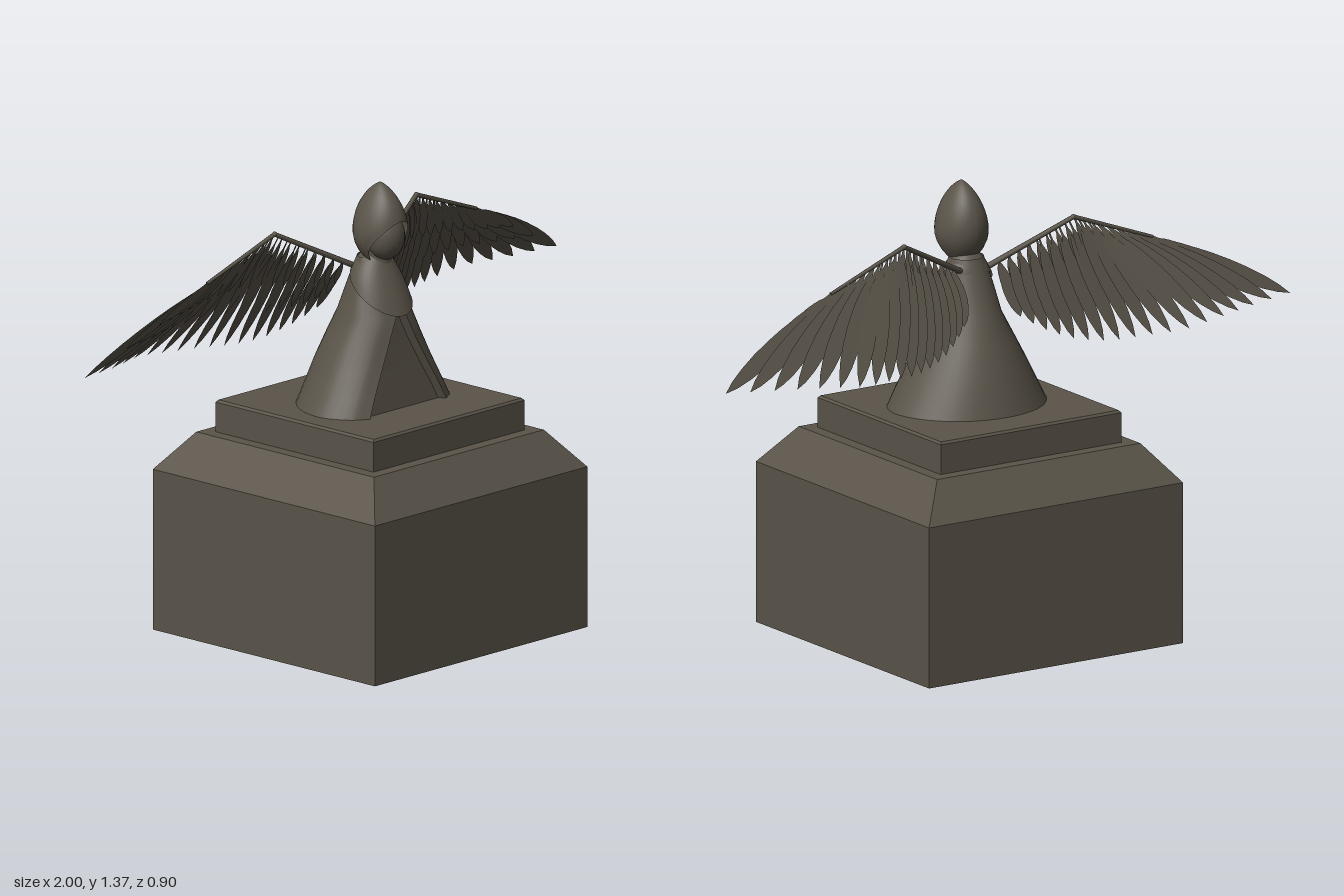
import * as THREE from 'three';

const stone = new THREE.MeshStandardMaterial({ color: 0x5a5449, side: THREE.DoubleSide });
stone.name = 'weathered stone';
const V = (x, y, z) => new THREE.Vector3(x, y, z);
const lerp = THREE.MathUtils.lerp;

function add(parent, name, geometry) {
  const mesh = new THREE.Mesh(geometry, stone);
  mesh.name = name;
  parent.add(mesh);
  return mesh;
}

// Surface through rows of points, rows running upward
function loft(rows) {
  const n = rows[0].length, index = [];
  for (let i = 0; i < rows.length - 1; i++)
    for (let j = 0; j < n - 1; j++) {
      const a = i * n + j, b = a + 1, c = a + n, d = c + 1;
      index.push(a, c, b, b, c, d);
    }
  const g = new THREE.BufferGeometry().setFromPoints(rows.flat());
  g.setIndex(index);
  g.computeVertexNormals();
  return g;
}

// Surface from a rule f(angle, v); the angle starts and ends at the back
function turned(f, around, up) {
  const rows = [];
  for (let i = 0; i <= up; i++) {
    const row = [];
    for (let j = 0; j <= around; j++) row.push(f(Math.PI + (j / around) * Math.PI * 2, i / up));
    rows.push(row);
  }
  return loft(rows);
}

function makePedestal() {
  const group = new THREE.Group();
  group.name = 'pedestal';
  // name, half width below, half width above, bottom, top
  const tiers = [
    ['pedestalBlock', 0.45, 0.45, 0, 0.487],
    ['pedestalSlope', 0.45, 0.36, 0.487, 0.6],
    ['pedestalSlab', 0.32, 0.32, 0.6, 0.69],
    ['slabBevel', 0.32, 0.314, 0.69, 0.697],
  ];
  for (const [name, low, high, y0, y1] of tiers) {
    const g = new THREE.CylinderGeometry(high * Math.SQRT2, low * Math.SQRT2, y1 - y0, 4)
      .rotateY(Math.PI / 4).translate(0, (y0 + y1) / 2, 0).toNonIndexed();
    g.computeVertexNormals();
    add(group, name, g);
  }
  return group;
}

function makeRobe() {
  const group = new THREE.Group();
  group.name = 'robe';
  // height, half width, half opening, back z, front z
  const rings = [
    [0.695, 0.25, 0.162, -0.2, 0.155],
    [0.75, 0.222, 0.136, -0.183, 0.148],
    [0.82, 0.186, 0.098, -0.162, 0.139],
    [0.9, 0.145, 0.056, -0.131, 0.131],
    [0.975, 0.106, 0.02, -0.1, 0.126],
    [1.06, 0.082, 0.01, -0.065, 0.085],
    [1.14, 0.052, 0.004, -0.033, 0.045],
  ];
  const cloak = rings.map(([y, w, open, back, front]) => {
    const side = lerp(back, front, 0.66);
    const half = [
      [open, front], [lerp(open, w, 0.55), lerp(side, front, 0.72)], [w, side],
      [w * 0.9, lerp(side, back, 0.45)], [w * 0.55, lerp(side, back, 0.84)],
    ];
    const pts = [
      ...half.map(([x, z]) => V(-x, y, z)), V(0, y, back),
      ...half.slice().reverse().map(([x, z]) => V(x, y, z)),
    ];
    return new THREE.CatmullRomCurve3(pts).getPoints(40);
  });
  add(group, 'cloak', loft(cloak));

  // Recessed front panel and the thick cloak edges beside it
  const inner = (o) => Math.max(o - 0.014, 0.002);
  const low = rings.slice(0, 5);
  add(group, 'frontPanel', loft(low.map(([y, , o, , f]) =>
    [V(inner(o), y, f - 0.02), V(-inner(o), y, f - 0.02)])));
  add(group, 'leftCloakEdge', loft(low.map(([y, , o, , f]) =>
    [V(o, y, f), V(inner(o), y, f - 0.02)])));
  add(group, 'rightCloakEdge', loft(low.map(([y, , o, , f]) =>
    [V(-inner(o), y, f - 0.02), V(-o, y, f)])));

  // Shoulder cape with a rim that dips at the front
  add(group, 'shoulderCape', turned((a, v) => {
    const s = -Math.sin(a), c = Math.cos(a), bulge = Math.sin(v * Math.PI) * 0.008;
    return V(s * (lerp(0.094, 0.036, v) + bulge),
      lerp(1.04 - 0.065 * c, 1.155, v),
      lerp(0.045, 0.022, v) + c * (lerp(0.091, 0.036, v) + bulge * 0.5));
  }, 32, 6));
  return group;
}

function makeHead() {
  const group = new THREE.Group();
  group.name = 'head';
  // Egg-shaped hood, cut away over the face
  add(group, 'hood', turned((a, v) => {
    const s = -Math.sin(a), c = Math.cos(a), top = 1.365;
    const bottom = 1.13 + 0.128 * Math.pow(Math.max(0, c), 0.8);
    const y = top - (top - bottom) * (1 - v) ** 2;
    const r = y > 1.21
      ? 0.078 * Math.pow(Math.max(0, 1 - Math.pow((y - 1.21) / 0.155, 1.7)), 0.75)
      : 0.078 - 6 * (1.21 - y) ** 2;
    const depth = 1.06 + 0.32 * THREE.MathUtils.clamp((y - 1.2) / 0.14, 0, 1);
    return V(s * r, y, 0.042 + c * r * depth);
  }, 36, 16));
  add(group, 'face', new THREE.SphereGeometry(1, 24, 16).scale(0.058, 0.072, 0.058).translate(0, 1.206, 0.062));
  add(group, 'neck', new THREE.CylinderGeometry(0.036, 0.04, 0.1, 20).translate(0, 1.15, 0.035));
  return group;
}

// Leaf-shaped feather from root to tip, rolled a little so that neighbours overlap
function featherGeometry(root, tip, width, normal, roll) {
  const length = root.distanceTo(tip), w = width / 2;
  const shape = new THREE.Shape();
  shape.moveTo(-0.003, 0);
  shape.lineTo(0.003, 0);
  shape.lineTo(0.004, length * 0.12);
  shape.bezierCurveTo(w * 1.1, length * 0.3, w * 1.35, length * 0.8, 0, length);
  shape.bezierCurveTo(-w * 1.35, length * 0.8, -w * 1.1, length * 0.3, -0.004, length * 0.12);
  const dir = tip.clone().sub(root).normalize();
  const n = normal.clone().applyAxisAngle(dir, roll);
  const side = V(0, 0, 0).crossVectors(dir, n).normalize();
  const m = new THREE.Matrix4().makeBasis(side, dir, V(0, 0, 0).crossVectors(side, dir)).setPosition(root);
  return new THREE.ShapeGeometry(shape, 8).applyMatrix4(m);
}

function rod(a, b, r0, r1) {
  const g = new THREE.CylinderGeometry(r1, r0, a.distanceTo(b), 8);
  const q = new THREE.Quaternion().setFromUnitVectors(V(0, 1, 0), b.clone().sub(a).normalize());
  return g.applyQuaternion(q).translate(...a.clone().add(b).multiplyScalar(0.5).toArray());
}

function makeWing(s) {
  const group = new THREE.Group();
  group.name = s > 0 ? 'leftWing' : 'rightWing';
  const shoulder = V(s * 0.05, 1.11, -0.025), elbow = V(s * 0.3, 1.238, -0.1), wrist = V(s * 0.57, 1.14, -0.115);
  add(group, 'upperWingBone', rod(shoulder, elbow, 0.009, 0.007));
  add(group, 'outerWingBone', rod(elbow, wrist, 0.007, 0.005));
  add(group, 'elbowJoint', new THREE.SphereGeometry(0.008, 10, 8).translate(...elbow.toArray()));

  const tips = new THREE.CatmullRomCurve3([
    [0.1, 0.97, -0.12], [0.17, 0.925, -0.16], [0.25, 0.895, -0.195], [0.34, 0.885, -0.23], [0.44, 0.89, -0.26],
    [0.56, 0.895, -0.285], [0.7, 0.91, -0.275], [0.84, 0.915, -0.235], [1, 0.922, -0.2],
  ].map(([x, y, z]) => V(s * x, y, z)));
  const normal = V(s * 0.1, -0.38, 1).normalize();

  // name, count, share of full length, width, forward offset
  const layers = [
    ['longFeather', 18, 1, 0.058, 0],
    ['middleFeather', 17, 0.68, 0.046, 0.008],
    ['shortFeather', 18, 0.42, 0.034, 0.014],
  ];
  for (const [name, count, share, width, offset] of layers)
    for (let i = 0; i < count; i++) {
      const t = i / (count - 1), u = 0.06 + 0.94 * t;
      const root = u < 0.5 ? shoulder.clone().lerp(elbow, u * 2) : elbow.clone().lerp(wrist, u * 2 - 1);
      const tip = root.clone().lerp(tips.getPoint(t), share).addScaledVector(normal, offset);
      add(group, name, featherGeometry(root, tip, width, normal, s * 0.18));
    }
  return group;
}

export function createModel() {
  const model = new THREE.Group();
  model.name = 'wingedStatue';
  model.add(makePedestal(), makeRobe(), makeHead(), makeWing(1), makeWing(-1));
  return model;
}
